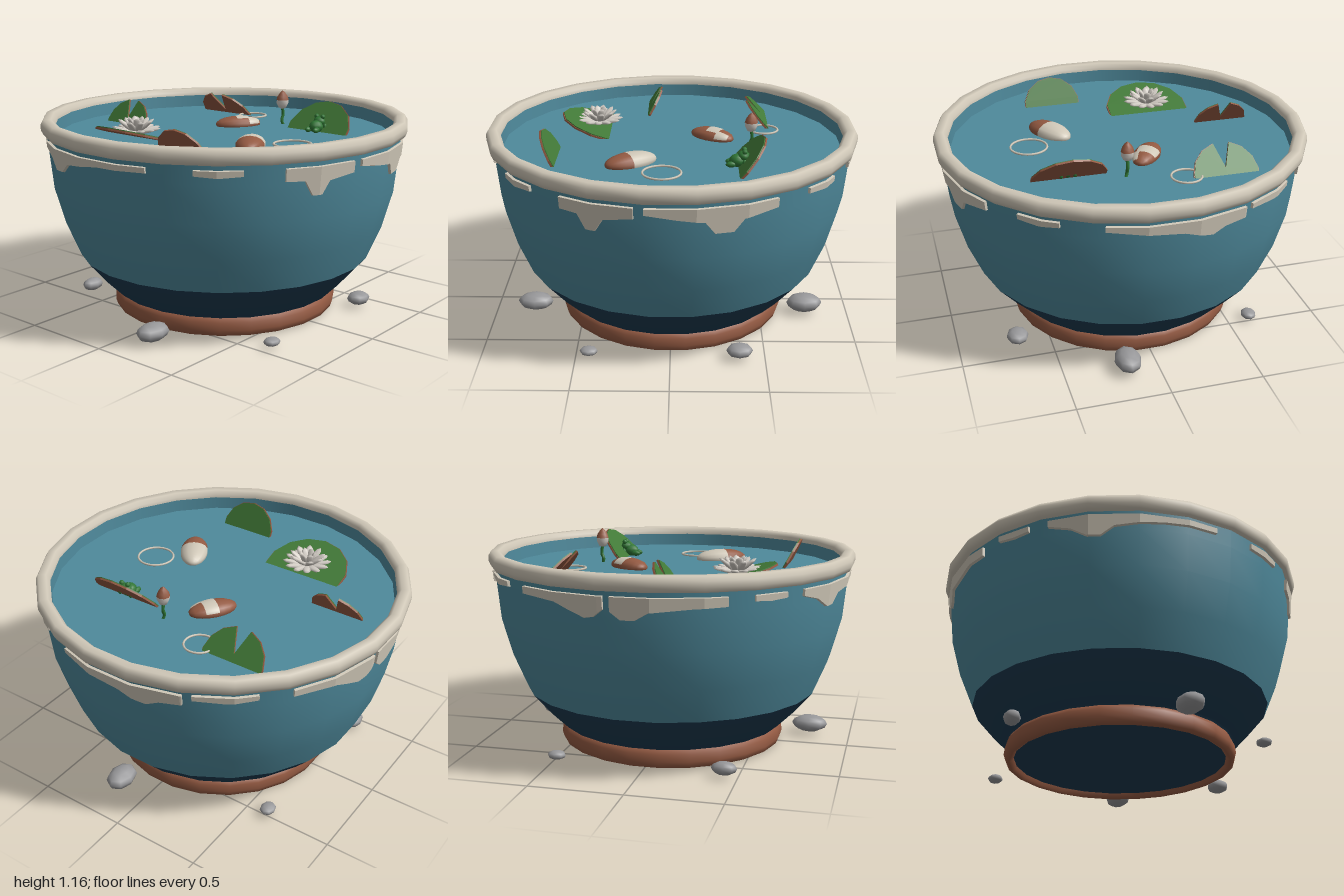
import * as THREE from 'three';

const mat = (name, color, side = THREE.FrontSide) => {
  const m = new THREE.MeshStandardMaterial({ color, side });
  m.name = name;
  return m;
};
const SIDES = 24, STEP = Math.PI * 2 / SIDES, WATER = 0.97;

export function createModel() {
  const teal = mat('teal glaze', 0x4f8a9c);
  const navy = mat('navy glaze', 0x1c3a50);
  const cream = mat('cream glaze', 0xd0c8b8);
  const clay = mat('terracotta', 0x945a42);
  const leaf = mat('leaf green', 0x427a38);
  const frogGreen = mat('frog green', 0x2f7534);
  const stone = mat('stone grey', 0x98989a);
  const petalWhite = mat('petal white', 0xd6d0c8);

  const root = new THREE.Group();
  root.name = 'pondBowl';
  const add = (name, geo, material, parent = root) => {
    const m = new THREE.Mesh(geo, material);
    m.name = name;
    parent.add(m);
    return m;
  };
  const group = (name, x, y, z, parent = root) => {
    const g = new THREE.Group();
    g.name = name;
    g.position.set(x, y, z);
    parent.add(g);
    return g;
  };
  // 24-sided ring; radii are measured to the flats
  const lathe = (name, pts, material) => add(name, new THREE.LatheGeometry(
    pts.map(([r, y]) => new THREE.Vector2(r / Math.cos(STEP / 2), y)), SIDES, STEP / 2), material);
  const blob = (name, material, size, pos, parent, w = 10, h = 8) => {
    const m = add(name, new THREE.SphereGeometry(1, w, h), material, parent);
    m.scale.set(...size);
    m.position.set(...pos);
    return m;
  };

  // Bowl
  lathe('footRing', [[0.57, 0.05], [0.575, 0.01], [0.595, 0], [0.615, 0.01], [0.625, 0.04],
    [0.62, 0.08], [0.605, 0.105], [0.57, 0.115]], clay);
  lathe('lowerBowl', [[0, 0.03], [0.575, 0.03], [0.6, 0.1], [0.62, 0.11], [0.705, 0.195], [0.808, 0.315]], navy);
  lathe('upperBowl', [[0.808, 0.315], [0.885, 0.5], [0.94, 0.7], [0.96, 0.9], [0.97, 1.02]], teal);
  lathe('rim', [[0.96, 0.995], [0.988, 1.0], [1.0, 1.025], [1.0, 1.055], [0.985, 1.08],
    [0.945, 1.08], [0.925, 1.06], [0.925, 1.03]], cream);
  lathe('innerWall', [[0.925, 1.04], [0.92, 0.95]], teal);
  lathe('water', [[0.925, WATER], [0, WATER]], teal);

  // Glaze drips: [angle in degrees, lower edge] stations round the wall
  const drips = [
    [[-125, 0.94], [-118, 0.91], [-113, 0.86], [-109, 0.86], [-105, 0.91], [-90, 0.94], [-73, 0.945]],
    [[-59, 0.945], [-52, 0.937], [-45, 0.945]],
    [[-33, 0.91], [-27, 0.905], [-24.5, 0.83], [-21.5, 0.83], [-19, 0.895], [-10, 0.915]],
    [[-7, 0.94], [2, 0.915], [10, 0.9], [13, 0.835], [18.5, 0.835], [21.5, 0.9], [32.4, 0.925]],
    [[44.5, 0.945], [51, 0.938], [57.7, 0.945]],
    [[70.7, 0.945], [83, 0.925], [93, 0.91], [99, 0.88], [102, 0.87], [106, 0.9], [113, 0.915]],
    [[115.7, 0.945], [125, 0.935], [134.5, 0.945]],
    [[144.5, 0.935], [158, 0.925], [163, 0.89], [168, 0.86], [171, 0.87], [174, 0.91]],
    [[176, 0.9], [179, 0.86], [183, 0.86], [187, 0.9], [200, 0.92], [209.5, 0.925]],
    [[217.5, 0.945], [223, 0.938], [228.5, 0.945]],
  ];
  const wallPoint = (deg, y, out) => {
    const a = THREE.MathUtils.degToRad(deg);
    const r = (0.87 + 0.1 * y + out) / Math.cos(a - STEP * Math.round(a / STEP));
    return [Math.sin(a) * r, y, Math.cos(a) * r];
  };
  for (const d of drips) {
    // add the bowl's corner angles so the glaze hugs each facet
    const angles = d.map(p => p[0]);
    for (let c = -142.5; c < 240; c += 15) if (c > d[0][0] && c < d[d.length - 1][0]) angles.push(c);
    angles.sort((p, q) => p - q);
    const edge = a => {
      const i = Math.max(1, d.findIndex(p => p[0] >= a));
      return THREE.MathUtils.mapLinear(a, d[i - 1][0], d[i][0], d[i - 1][1], d[i][1]);
    };
    const rows = angles.map(a => [wallPoint(a, 0.975, -0.01), wallPoint(a, 0.972, 0.014),
      wallPoint(a, edge(a), 0.014), wallPoint(a, edge(a) - 0.005, -0.01)]);
    const pos = [];
    const quad = (a, b, c, e) => pos.push(...a, ...b, ...c, ...a, ...c, ...e);
    for (let i = 0; i + 1 < rows.length; i++)
      for (let k = 0; k < 3; k++) quad(rows[i][k], rows[i][k + 1], rows[i + 1][k + 1], rows[i + 1][k]);
    const s = rows[0], e = rows[rows.length - 1];
    quad(s[0], s[3], s[2], s[1]);
    quad(e[0], e[1], e[2], e[3]);
    const geo = new THREE.BufferGeometry();
    geo.setAttribute('position', new THREE.Float32BufferAttribute(pos, 3));
    geo.computeVertexNormals();
    add('glazeDrip', geo, cream);
  }

  // Tilted lily pads, half under water; dir is the side that rises
  const lilyPad = (x, y, z, r, tilt, dir, notch) => {
    const pad = group('lilyPad', x, y, z);
    pad.rotation.z = tilt * dir;
    const plate = (name, radius, depth, base, material) => {
      const pts = [], start = notch ? 0.25 : 0, n = 14;
      for (let i = 0; i < n + (notch ? 1 : 0); i++) {
        const a = start + i / n * (Math.PI * 2 - 2 * start);
        pts.push(new THREE.Vector2(Math.cos(a) * radius * dir, Math.sin(a) * radius));
      }
      if (notch) pts.push(new THREE.Vector2(0.2 * r * dir, 0));
      const geo = new THREE.ExtrudeGeometry(new THREE.Shape(pts), { depth, bevelEnabled: false });
      geo.rotateX(-Math.PI / 2).translate(0, base, 0);
      add(name, geo, material, pad);
    };
    plate('padUnderside', r, 0.01, -0.01, clay);
    plate('padTop', r * 0.98, 0.005, 0, leaf);
  };
  lilyPad(-0.4, 0.98, -0.275, 0.24, 0.3, -1, false);
  lilyPad(-0.145, WATER, -0.63, 0.152, 1.05, 1, true);
  lilyPad(0.545, WATER, -0.42, 0.178, 0.84, -1, true);
  lilyPad(-0.61, WATER, 0.25, 0.165, 1.1, -1, false);
  lilyPad(0.355, WATER, 0.372, 0.203, 0.86, 1, false);

  // Water lily: three whorls of pointed petals
  const lily = group('waterLily', -0.42, 0.995, -0.275);
  [[12, 0.14, 0.22, 0], [9, 0.125, 0.65, 0.2], [6, 0.1, 1.1, 0.4]].forEach(([n, len, lift, turn]) => {
    for (let i = 0; i < n; i++) {
      const geo = new THREE.SphereGeometry(1, 6, 4).rotateX(Math.PI / 2);
      geo.scale(0.025, 0.011, len / 2).translate(0, 0, len / 2);
      const p = add('petal', geo, petalWhite, lily);
      p.rotation.set(-lift, turn + i / n * Math.PI * 2, 0, 'YXZ');
    }
  });

  // Bud on a curved stem
  const bud = group('lilyBud', 0.43, 0, 0.08);
  const stem = new THREE.CatmullRomCurve3([[0.012, 0.94, 0.015], [-0.005, 0.99, 0], [0.006, 1.02, 0], [0, 1.07, 0]]
    .map(p => new THREE.Vector3(...p)));
  add('budStem', new THREE.TubeGeometry(stem, 10, 0.009, 6), frogGreen, bud);
  const budPart = (name, pts, m) => add(name, new THREE.LatheGeometry(pts.map(p => new THREE.Vector2(...p)), 8), m, bud);
  budPart('budBase', [[0, 1.055], [0.022, 1.065], [0.034, 1.09], [0.034, 1.112]], petalWhite);
  budPart('budTip', [[0.036, 1.11], [0.03, 1.13], [0.015, 1.152], [0, 1.165]], clay);

  // Two fish backs breaking the surface, nose along local x
  const fishPart = (name, m, parent, k, ...range) => {
    const geo = new THREE.SphereGeometry(1, 14, 10, ...range).rotateZ(Math.PI / 2);
    add(name, geo.scale(0.148 * k, 0.05 * k, 0.078 * k), m, parent);
  };
  const fishA = group('fish', -0.21, 0.98, 0.35);
  fishA.rotation.y = 0.55;
  fishPart('fishTail', clay, fishA, 1, 0, Math.PI * 2, 0, 1.45);
  fishPart('fishHead', cream, fishA, 1, 0, Math.PI * 2, 1.45, Math.PI - 1.45);
  const fishB = group('fish', 0.225, 0.98, -0.085);
  fishB.rotation.y = -0.6;
  fishB.scale.setScalar(0.9);
  fishPart('fishBody', clay, fishB, 1);
  fishPart('fishPatch', cream, fishB, 1.03, 2.5, 1.9, 1.45, 0.55);
  fishPart('fishCheek', cream, fishB, 1.03, 1.7, 1.1, 1.95, 0.65);

  // Ripple rings
  [[-0.045, 0.5, 0.1], [0.52, -0.21, 0.08]].forEach(([x, z, r]) => {
    add('ripple', new THREE.TorusGeometry(r, 0.006, 6, 24).rotateX(Math.PI / 2), cream).position.set(x, 0.976, z);
  });

  // Frog, facing +x
  const frog = group('frog', 0.345, 1.0, 0.378);
  blob('frogBody', frogGreen, [0.045, 0.035, 0.038], [0, 0, 0], frog);
  blob('frogHead', frogGreen, [0.032, 0.027, 0.034], [0.03, 0.025, 0], frog);
  for (const s of [-1, 1]) {
    blob('frogEye', frogGreen, [0.014, 0.014, 0.014], [0.035, 0.052, s * 0.02], frog, 8, 6);
    blob('frogHindLeg', frogGreen, [0.028, 0.016, 0.014], [-0.035, -0.014, s * 0.026], frog, 8, 6);
    blob('frogForeLeg', frogGreen, [0.012, 0.02, 0.012], [0.035, -0.005, s * 0.036], frog, 8, 6);
  }

  // Pebbles around the foot: x, y, z, half-width, half-height, half-depth
  [[0.755, 0.065, 0.165, 0.1, 0.052, 0.072], [-0.775, 0.065, 0.165, 0.1, 0.047, 0.072],
    [0.365, 0.05, 0.68, 0.07, 0.036, 0.06], [-0.43, 0.035, 0.67, 0.048, 0.022, 0.042],
    [-0.43, 0.05, -0.65, 0.068, 0.036, 0.045], [0.48, 0.035, -0.62, 0.05, 0.024, 0.042],
  ].forEach(([x, y, z, w, h, d]) => blob('pebble', stone, [w, h, d], [x, y, z], root, 8, 6));

  return root;
}
